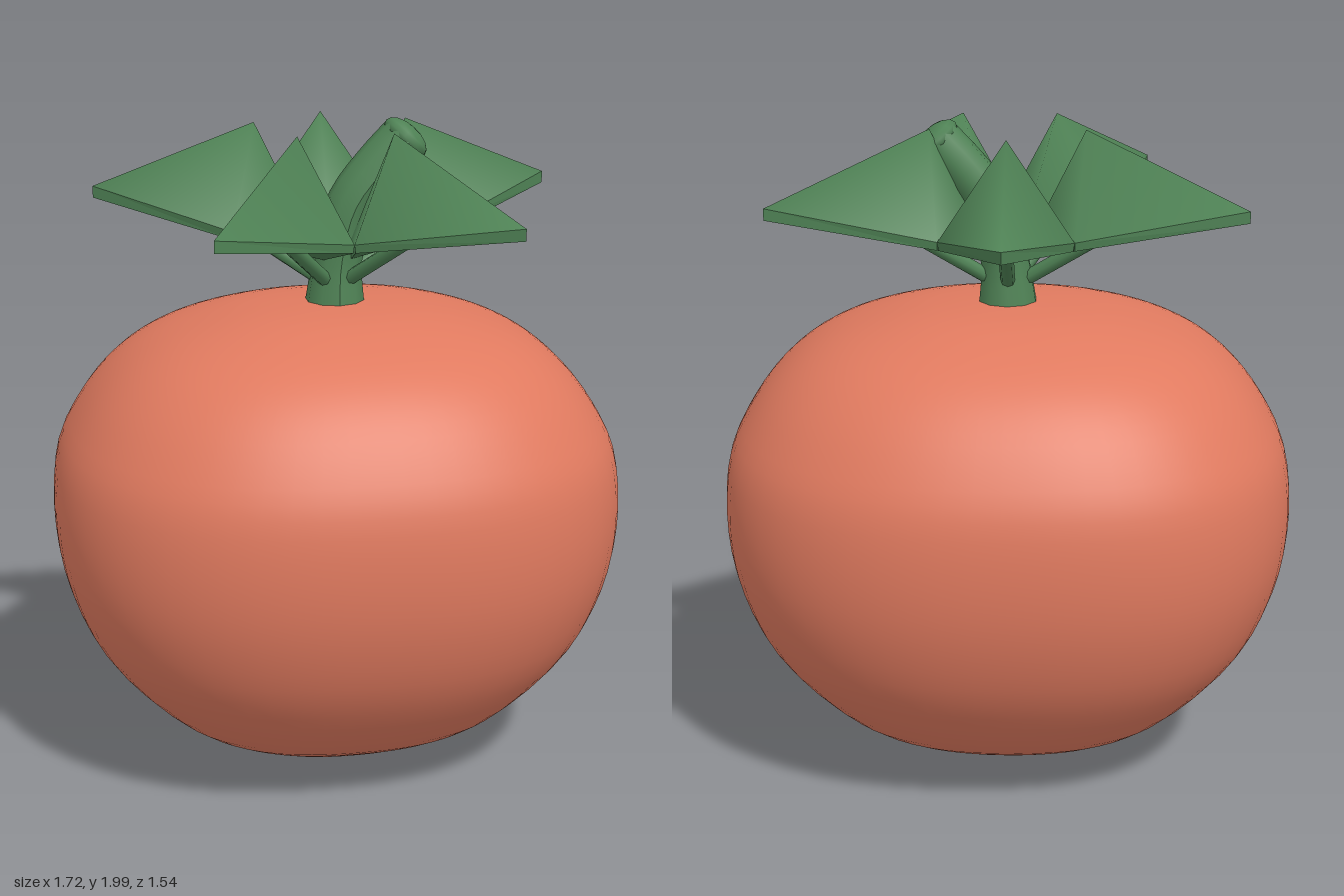
import * as THREE from 'three';
import { mergeVertices, mergeGeometries } from 'three/addons/utils/BufferGeometryUtils.js';

const red = new THREE.MeshStandardMaterial({ color: 0xe07a5f });
const green = new THREE.MeshStandardMaterial({ color: 0x4f8255 });

function add(parent, name, geometry, material) {
  const mesh = new THREE.Mesh(geometry, material);
  mesh.name = name;
  parent.add(mesh);
  return mesh;
}

// Lathed fruit whose round section is pushed out into a soft, rounded rectangle
function fruitGeometry() {
  const profile = new THREE.SplineCurve([
    [0, 0.005], [0.2, 0.035], [0.37, 0.1], [0.545, 0.2], [0.73, 0.4], [0.825, 0.6], [0.86, 0.8],
    [0.845, 1.0], [0.78, 1.14], [0.69, 1.255], [0.58, 1.34], [0.44, 1.4], [0.25, 1.445], [0, 1.46],
  ].map(([x, y]) => new THREE.Vector2(x, y))).getPoints(44);
  profile[0].x = profile[profile.length - 1].x = 0;
  let geo = new THREE.LatheGeometry(profile, 64);
  const p = geo.attributes.position, n = 2.4;
  for (let i = 0; i < p.count; i++) {
    const x = p.getX(i), z = p.getZ(i), r = Math.hypot(x, z);
    if (r < 1e-6) continue;
    const k = Math.pow(Math.abs(x / r) ** n + Math.abs(z / r) ** n, -1 / n);
    p.setX(i, x * k);
    p.setZ(i, z * k * 0.77 / 0.86);
  }
  geo.deleteAttribute('uv');
  geo.deleteAttribute('normal');
  geo = mergeVertices(geo, 1e-4);
  geo.computeVertexNormals();
  return geo;
}

function facesGeometry(points, index) {
  const geo = new THREE.BufferGeometry();
  geo.setAttribute('position', new THREE.Float32BufferAttribute(points.flat(), 3));
  geo.setIndex(index);
  return geo;
}

// Kite-shaped leaf pointing to +z: smooth peaked top, thin rim, flat-shaded underside
function leafGeometry() {
  const rim = [[0, 1.78, 0.735], [0.197, 1.695, 0.271], [0, 1.65, 0.07], [-0.197, 1.695, 0.271]];
  const drop = [0.035, 0.025, 0.06, 0.025];
  const low = rim.map(([x, y, z], i) => [x * 0.98, y - drop[i], z]);
  const topIndex = [], lowIndex = [];
  for (let i = 0; i < 4; i++) {
    const j = (i + 1) % 4;
    topIndex.push(4, i, j);
    lowIndex.push(i, i + 4, j + 4, i, j + 4, j, 8, j + 4, i + 4);
  }
  const top = facesGeometry([...rim, [0, 1.985, 0.24]], topIndex);
  top.computeVertexNormals();
  const under = facesGeometry([...rim, ...low, [0, 1.675, 0.27]], lowIndex).toNonIndexed();
  under.computeVertexNormals();
  return mergeGeometries([top.toNonIndexed(), under]);
}

// Round rod between two points
function rodGeometry(a, b, r, sides) {
  return new THREE.TubeGeometry(new THREE.LineCurve3(a, b), 1, r, sides);
}

export function createModel() {
  const model = new THREE.Group();
  model.name = 'fruit';
  add(model, 'body', fruitGeometry(), red);

  // Five leaves, each held by a thin rib from the stem
  const leaf = leafGeometry();
  const rib = rodGeometry(new THREE.Vector3(0, 1.51, 0.03), new THREE.Vector3(0, 1.7, 0.33), 0.022, 8);
  for (let i = 0; i < 5; i++) {
    const spoke = new THREE.Group();
    spoke.name = 'leafSpoke' + (i + 1);
    spoke.rotation.y = Math.PI + i * Math.PI * 2 / 5;
    add(spoke, 'leaf', leaf, green);
    add(spoke, 'leafRib', rib, green);
    model.add(spoke);
  }

  // Stem leaning to +x, widest at the foot
  const path = new THREE.CatmullRomCurve3([
    [0, 1.42, 0], [0.01, 1.58, 0], [0.05, 1.74, 0], [0.13, 1.85, 0], [0.215, 1.94, 0],
  ].map((v) => new THREE.Vector3(...v)));
  const stem = new THREE.TubeGeometry(path, 14, 0.075, 10);
  const p = stem.attributes.position;
  for (let i = 0; i < p.count; i++) {
    const k = 1 + 0.25 * Math.max(0, (1.56 - p.getY(i)) / 0.14);
    if (p.getY(i) < 1.56) {
      p.setX(i, p.getX(i) * k);
      p.setZ(i, p.getZ(i) * k);
    }
  }
  stem.computeVertexNormals();
  add(model, 'stem', stem, green);

  // Rounded knob closing the cut end of the stem
  const knob = add(model, 'stemEnd', new THREE.SphereGeometry(0.08, 10, 8), green);
  knob.scale.y = 0.5;
  knob.position.set(0.215, 1.938, 0);
  knob.rotation.z = -0.75;
  return model;
}
